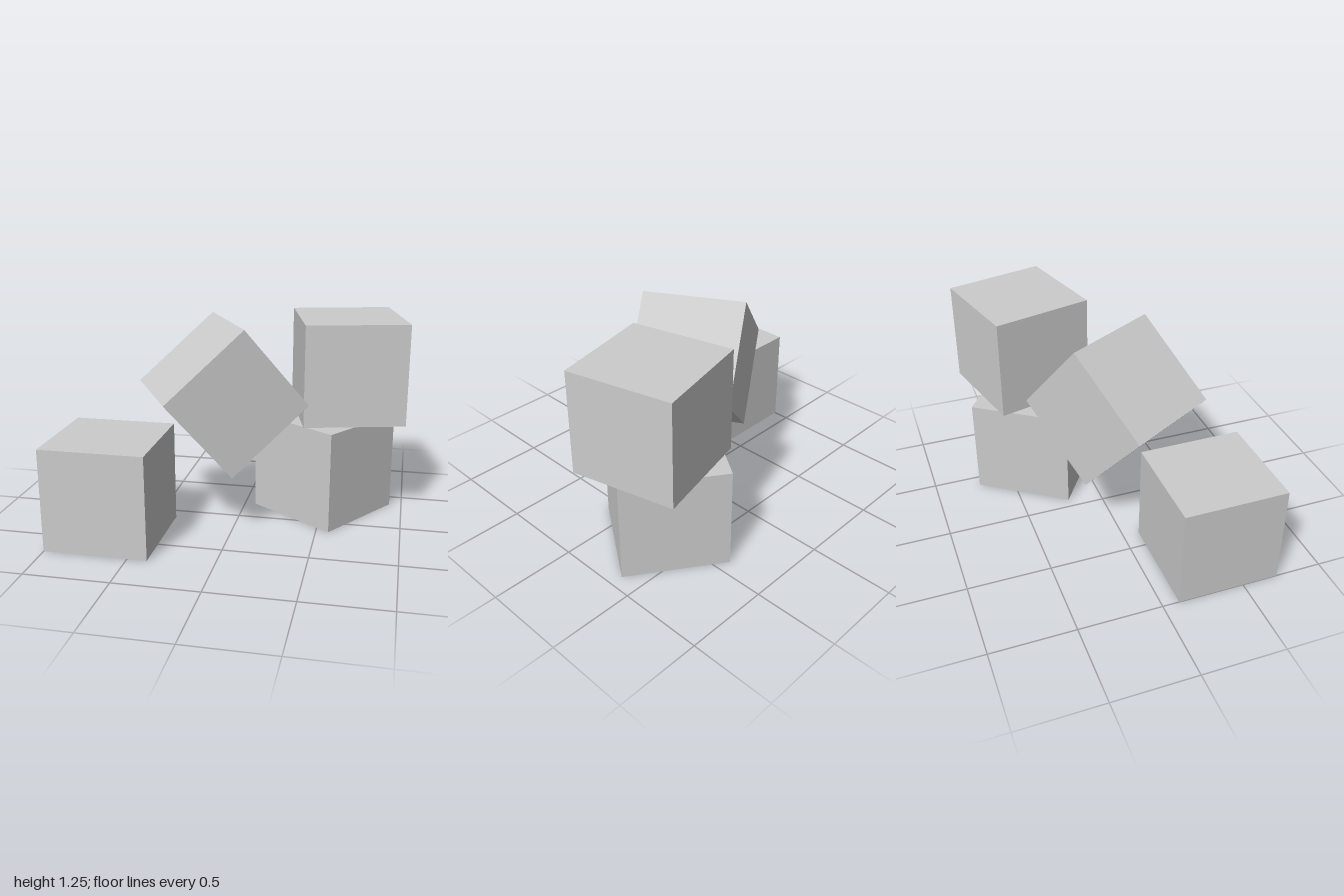
import * as THREE from 'three';

const SIZE = 0.617;

export function createModel() {
  const group = new THREE.Group();
  const geometry = new THREE.BoxGeometry(SIZE, SIZE, SIZE);
  const material = new THREE.MeshStandardMaterial({ color: 0xcccccc, flatShading: true });

  // turn is about the vertical axis, tilt is about the block's own depth axis
  function addBlock(name, [x, y, z], turn = 0, tilt = 0) {
    const block = new THREE.Mesh(geometry, material);
    block.name = name;
    block.position.set(x, y, z);
    block.rotation.set(0, turn, tilt);
    group.add(block);
  }

  const deg = THREE.MathUtils.degToRad;

  // Two blocks on the ground
  addBlock('leftGroundBlock', [-0.692, SIZE / 2, 0.409]);
  addBlock('rightGroundBlock', [0.495, SIZE / 2, -0.291], deg(55.6));
  // Block stacked on the right one
  addBlock('stackedBlock', [0.623, SIZE * 1.5 + 0.002, -0.333], deg(14.1));
  // Block leaning across the gap
  addBlock('leaningBlock', [-0.095, 0.813, 0.045], deg(29.4), deg(40.2));

  return group;
}
